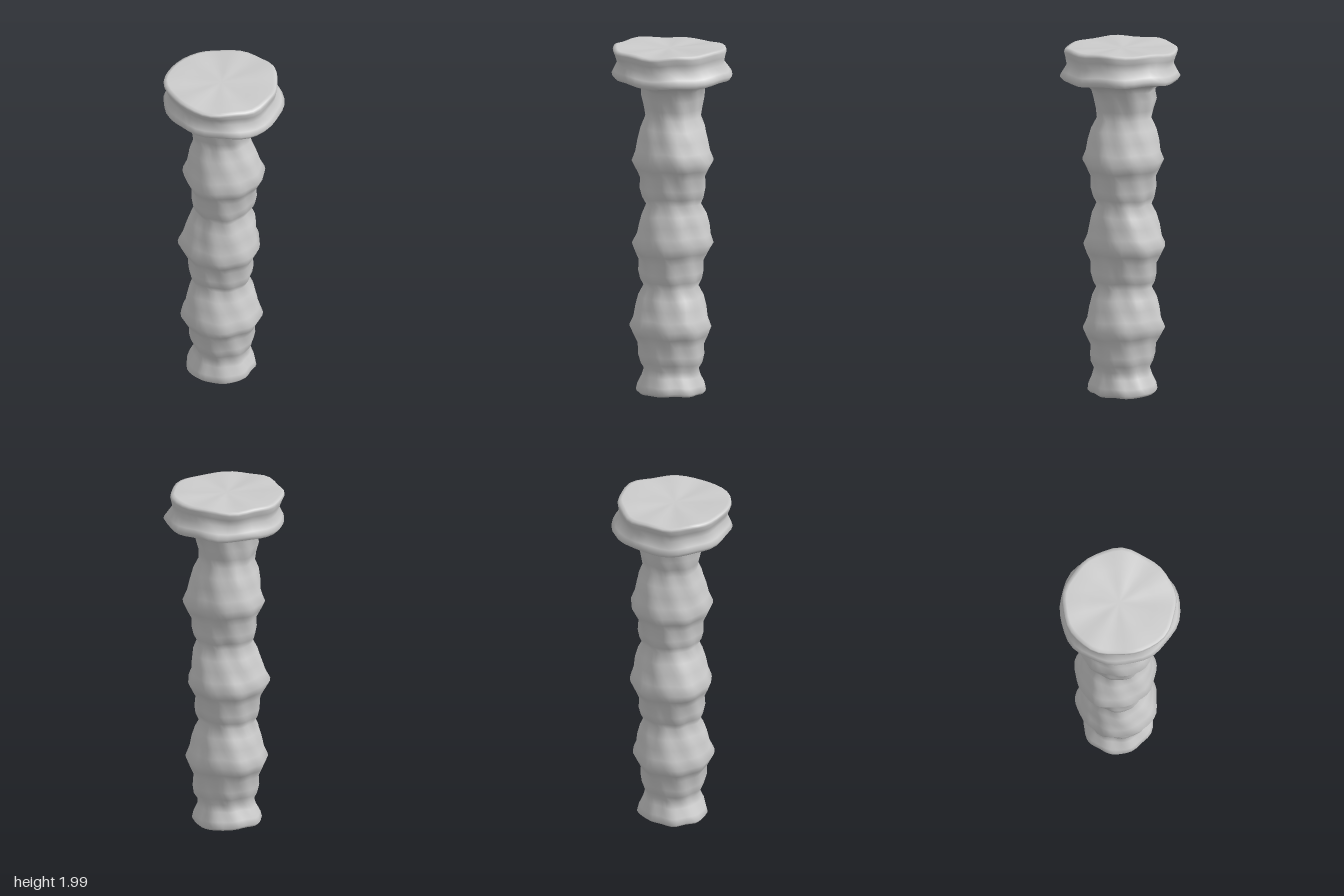
import * as THREE from 'three';
import { mergeVertices } from 'three/addons/utils/BufferGeometryUtils.js';

const material = new THREE.MeshStandardMaterial({ color: 0xcccccc });
const SIDES = 40;

// Profiles as [radius, height]
const foot = [[0, 0.012], [0.1, 0.016], [0.18, 0.02], [0.195, 0.035], [0.187, 0.07], [0.163, 0.12]];
const neck = [[0.153, 1.59], [0.16, 1.64], [0.175, 1.7], [0.178, 1.75], [0.205, 1.785], [0.27, 1.803], [0.322, 1.812]];
const cap = [[0.322, 1.812], [0.338, 1.835], [0.323, 1.86], [0.299, 1.9], [0.309, 1.94], [0.319, 1.97],
  [0.314, 1.985], [0.295, 1.99], [0.2, 1.986], [0.1, 1.984], [0, 1.984]];

// One ridged drum, repeated up the shaft: [radius, fraction of its height]
const drum = [[0.153, 0], [0.173, 0.08], [0.183, 0.18], [0.181, 0.31], [0.205, 0.41],
  [0.229, 0.515], [0.207, 0.62], [0.196, 0.75], [0.18, 0.88]];
const drumLevels = [0.16, 0.625, 1.1, 1.59];

// Wandering centreline: [height, x, z]
const centreline = [[0, -0.02, 0], [0.2, -0.01, 0], [0.4, -0.018, 0], [0.87, -0.023, -0.013],
  [1.05, -0.009, -0.01], [1.4, -0.004, -0.01], [1.7, -0.022, -0.013], [1.82, 0, 0], [2, -0.018, 0.01]];

function centreAt(y) {
  const k = centreline.findIndex((point) => point[0] >= y);
  const [a, b] = [centreline[k - 1], centreline[k]];
  const t = (y - a[0]) / (b[0] - a[0]);
  return [THREE.MathUtils.lerp(a[1], b[1], t), THREE.MathUtils.lerp(a[2], b[2], t)];
}

// Turn a profile, then shift each ring and roughen it like worn stone
function roughTurning(name, profile) {
  let geometry = new THREE.LatheGeometry(profile.map(([r, y]) => new THREE.Vector2(r, y)), SIDES);
  const pos = geometry.attributes.position;
  for (let i = 0; i < pos.count; i++) {
    const [r, y] = profile[i % profile.length];
    const a = (Math.floor(i / profile.length) % SIDES) / SIDES * Math.PI * 2;
    const [cx, cz] = centreAt(y);
    const wobble = 0.004 * Math.sin(3 * a + 7 * y) + 0.004 * Math.sin(5 * a - 11 * y)
      + 0.003 * Math.sin(9 * a + 17 * y);
    const radius = r > 0 ? r + wobble : 0;
    const sag = r * (0.02 * Math.sin(2 * a + 5 * y) + 0.015 * Math.sin(7 * a - 3 * y));
    pos.setXYZ(i, cx + radius * Math.sin(a), THREE.MathUtils.clamp(y + sag, 0, 2), cz + radius * Math.cos(a));
  }
  // Weld the seam so the shading runs smoothly round
  geometry.deleteAttribute('uv');
  geometry.deleteAttribute('normal');
  geometry = mergeVertices(geometry);
  geometry.computeVertexNormals();
  const mesh = new THREE.Mesh(geometry, material);
  mesh.name = name;
  return mesh;
}

export function createModel() {
  const group = new THREE.Group();
  group.name = 'turnedPillar';

  // Shaft: foot, three ridged drums, flaring neck
  const shaft = [...foot];
  for (let d = 0; d < 3; d++) {
    const height = drumLevels[d + 1] - drumLevels[d];
    for (const [r, t] of drum) shaft.push([r, drumLevels[d] + t * height]);
  }
  shaft.push(...neck);

  group.add(roughTurning('ringedShaft', shaft), roughTurning('flaredCap', cap));
  return group;
}
